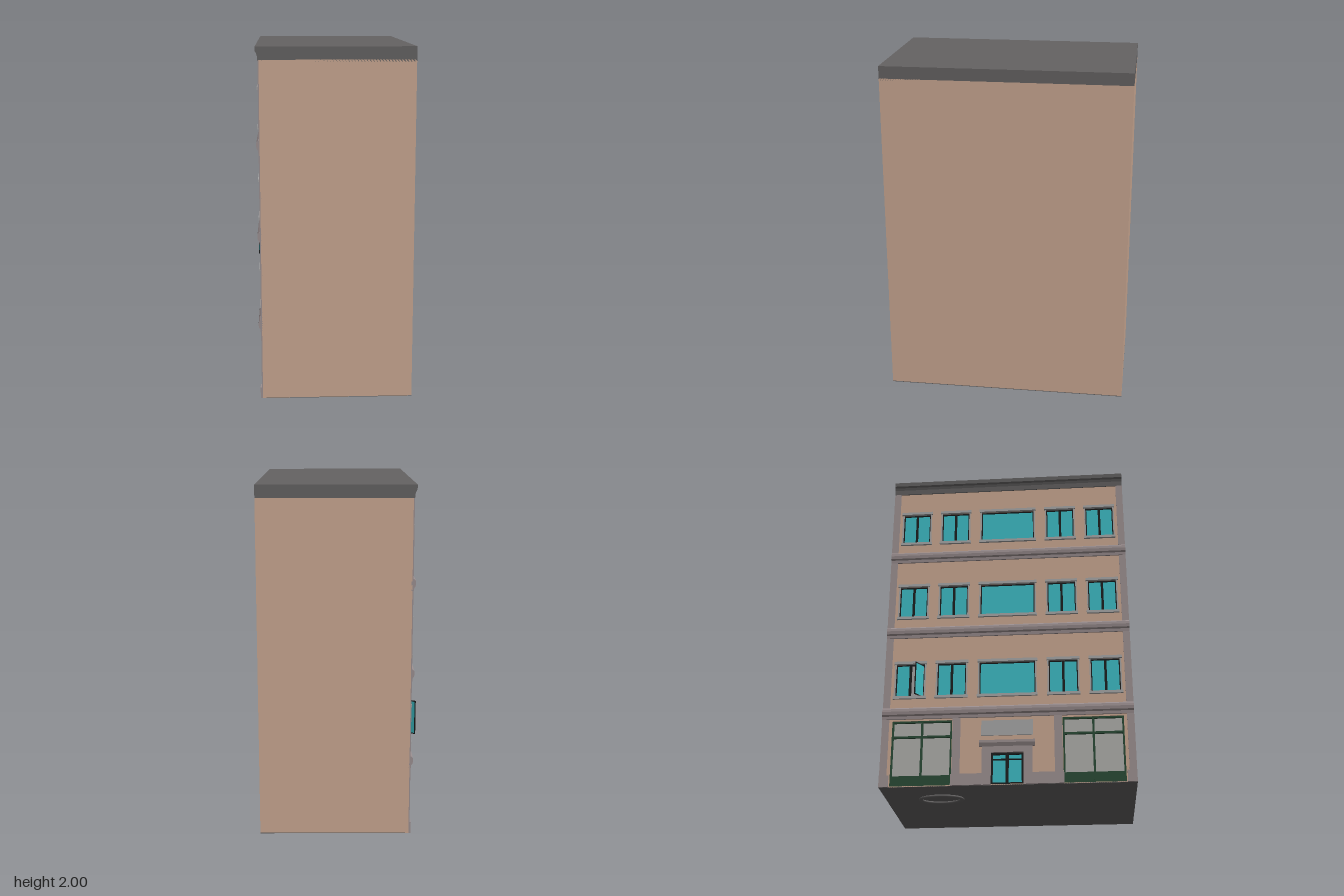
import * as THREE from 'three';

const mat = (color) => new THREE.MeshStandardMaterial({ color });
const WALL = mat(0xc9a791), ROOF = mat(0x646262), STONE = mat(0x9c9091), TRIM = mat(0xa6a6a6);
const GLASS = mat(0x3dbcc4), SHOP = mat(0xaeaeaa), GREEN = mat(0x2a4a35), DARK = mat(0x1c1e1e);

const W = 1.416, FACE = 0.405, BASE = 0.015;

function add(parent, name, geometry, material) {
  const mesh = new THREE.Mesh(geometry, material);
  mesh.name = name;
  parent.add(mesh);
  return mesh;
}

// Facade frame: u across, y up, third axis outwards
function box(parent, name, u, w, y0, y1, d0, d1, material) {
  const g = new THREE.BoxGeometry(w, y1 - y0, d1 - d0);
  g.translate(u, (y0 + y1) / 2, (d0 + d1) / 2);
  return add(parent, name, g, material);
}

// Moulding: [outwards, y] profile run along u
function moulding(parent, name, u, length, points, material) {
  const shape = new THREE.Shape(points.map(([x, y]) => new THREE.Vector2(x, y)));
  const g = new THREE.ExtrudeGeometry(shape, { depth: length, bevelEnabled: false });
  g.translate(0, 0, -length / 2).rotateY(-Math.PI / 2).translate(u, 0, 0);
  return add(parent, name, g, material);
}

function frame(parent, name, u, w, y0, y1, t, d0, d1, material) {
  for (const s of [-1, 1]) box(parent, name, u + s * (w - t) / 2, t, y0, y1, d0, d1, material);
  for (const y of [y0, y1 - t]) box(parent, name, u, w, y, y + t, d0, d1, material);
}

function makeWindow(u, w, y0, y1, panes, open) {
  const g = new THREE.Group();
  g.name = 'window';
  if (open) {
    box(g, 'glass', u - w / 4, w / 2, y0, y1, 0.388, 0.394, GLASS);
    box(g, 'openingBack', u + w / 4, w / 2, y0, y1, 0.386, 0.388, TRIM);
    // Casement leaf swung outwards on its outer edge
    const leaf = new THREE.Group();
    leaf.name = 'openLeaf';
    box(leaf, 'leafGlass', 0, 0.076, y0 + 0.005, y1 - 0.005, -0.001, 0.001, GLASS);
    frame(leaf, 'leafFrame', 0, 0.08, y0, y1, 0.006, -0.002, 0.002, DARK);
    leaf.position.set(-0.505, 0, 0.417);
    leaf.rotation.y = Math.PI / 2 - 0.57 + Math.PI / 2 + 0.57 - 2.12;
    leaf.position.set(-0.504, 0, 0.415);
    g.add(leaf);
  } else box(g, 'glass', u, w, y0, y1, 0.388, 0.394, GLASS);
  frame(g, 'windowFrame', u, w, y0, y1, 0.006, 0.39, 0.4, DARK);
  for (let i = 1; i < panes; i++)
    box(g, 'mullion', u - w / 2 + (i * w) / panes, 0.014, y0, y1, 0.39, 0.4, DARK);
  box(g, 'sill', u, w + 0.025, y0 - 0.016, y0, 0.4, 0.418, TRIM);
  box(g, 'lintel', u, w + 0.025, y1, y1 + 0.016, 0.4, 0.418, TRIM);
  for (const s of [-1, 1])
    box(g, 'jamb', u + s * (w / 2 + 0.004), 0.008, y0, y1, 0.4, 0.41, TRIM);
  return g;
}

function makeShopfront(u, w) {
  const g = new THREE.Group();
  g.name = 'shopfront';
  box(g, 'shopGlass', u, w, 0.02, 0.4, 0.386, 0.39, SHOP);
  box(g, 'lowerPanel', u, w, 0.02, 0.08, 0.39, 0.398, GREEN);
  frame(g, 'shopFrame', u, w, 0.02, 0.4, 0.01, 0.389, 0.402, GREEN);
  box(g, 'shopMullion', u, 0.012, 0.02, 0.4, 0.389, 0.401, GREEN);
  box(g, 'shopTransom', u, w, 0.3, 0.312, 0.389, 0.401, GREEN);
  return g;
}

function makeDoor() {
  const g = new THREE.Group();
  g.name = 'entrance';
  box(g, 'doorGlass', 0, 0.18, 0.02, 0.2, 0.386, 0.39, GLASS);
  frame(g, 'doorFrame', 0, 0.18, 0.02, 0.2, 0.01, 0.388, 0.4, DARK);
  box(g, 'doorMeetingStile', 0, 0.016, 0.02, 0.2, 0.388, 0.4, DARK);
  box(g, 'doorTransom', 0, 0.18, 0.16, 0.166, 0.388, 0.4, DARK);
  for (const s of [-1, 1]) {
    box(g, 'doorSurround', s * 0.115, 0.05, BASE, 0.235, 0.4, 0.414, STONE);
    box(g, 'doorPlinth', s * 0.2, 0.12, BASE, 0.08, 0.4, 0.418, STONE);
  }
  box(g, 'doorHead', 0, 0.28, 0.2, 0.24, 0.4, 0.414, STONE);
  moulding(g, 'doorCornice', 0, 0.31,
    [[0.4, 0.235], [0.414, 0.235], [0.422, 0.255], [0.422, 0.27], [0.4, 0.27]], STONE);
  box(g, 'blankPanel', 0, 0.29, 0.3, 0.39, 0.4, 0.411, TRIM);
  return g;
}

export function createModel() {
  const model = new THREE.Group();
  model.name = 'building';

  // Facade faces -x, with its u axis along +z
  const facade = new THREE.Group();
  facade.name = 'facade';
  facade.rotation.y = -Math.PI / 2;
  model.add(facade);

  // Openings gathered first, so the front wall can be cut
  const openings = [];
  for (let floor = 0; floor < 3; floor++) {
    const y0 = 0.55 + floor * 0.508, y1 = y0 + 0.2;
    for (const u of [-0.56, -0.32, 0, 0.32, 0.56]) {
      const w = u === 0 ? 0.32 : 0.165;
      openings.push([u, w, y0, y1]);
      facade.add(makeWindow(u, w, y0, y1, u === 0 ? 1 : 2, floor === 0 && u === -0.56));
    }
  }
  for (const s of [-1, 1]) {
    openings.push([s * 0.48, 0.34, 0.02, 0.4]);
    facade.add(makeShopfront(s * 0.48, 0.34));
  }
  openings.push([0, 0.18, 0.02, 0.2]);
  facade.add(makeDoor());

  const rect = (Type, u, w, y0, y1) => new Type([
    [u - w / 2, y0], [u + w / 2, y0], [u + w / 2, y1], [u - w / 2, y1],
  ].map(([x, y]) => new THREE.Vector2(x, y)));
  const wall = rect(THREE.Shape, 0, W, BASE, 1.93);
  wall.holes = openings.map((o) => rect(THREE.Path, ...o));
  const wallGeo = new THREE.ExtrudeGeometry(wall, { depth: 0.02, bevelEnabled: false });
  add(facade, 'frontWall', wallGeo.translate(0, 0, FACE - 0.02), WALL);

  // Main volume and underside
  box(facade, 'body', 0, W, BASE + 0.002, 1.93, -0.445, 0.386, WALL);
  box(facade, 'floorSlab', 0, W, BASE - 0.001, BASE + 0.003, -0.445, FACE, ROOF);

  // Corner and ground floor pilasters
  for (const s of [-1, 1]) {
    box(facade, 'cornerPilaster', s * 0.688, 0.04, BASE, 1.93, 0.4, 0.411, STONE);
    box(facade, 'cornerPlinth', s * 0.682, 0.052, BASE, 0.08, 0.4, 0.418, STONE);
    box(facade, 'shopPilaster', s * 0.285, 0.045, BASE, 0.42, 0.4, 0.411, STONE);
    box(facade, 'shopPlinth', s * 0.285, 0.055, BASE, 0.08, 0.4, 0.418, STONE);
  }

  // Rounded string courses between floors
  for (let floor = 0; floor < 3; floor++) {
    const y = 0.445 + floor * 0.508;
    moulding(facade, 'stringCourse', 0, W, [
      [0.4, -0.035], [0.413, -0.035], [0.415, -0.018], [0.422, -0.01],
      [0.425, 0.008], [0.423, 0.024], [0.414, 0.033], [0.4, 0.033],
    ].map(([d, h]) => [d, y + h]), STONE);
  }

  // Roof block with a flared front cornice
  moulding(facade, 'roof', 0, W, [
    [-0.445, 1.92], [0.411, 1.92], [0.413, 1.95], [0.418, 1.965],
    [0.424, 1.975], [0.425, 2], [-0.445, 2],
  ], ROOF);

  // Oval ring under the floor
  const ring = new THREE.TorusGeometry(0.068, 0.0075, 10, 40).scale(1, 1.72, 1);
  ring.rotateX(Math.PI / 2).translate(-0.185, 0.0075, -0.39);
  add(model, 'undersideRing', ring, ROOF);

  return model;
}
